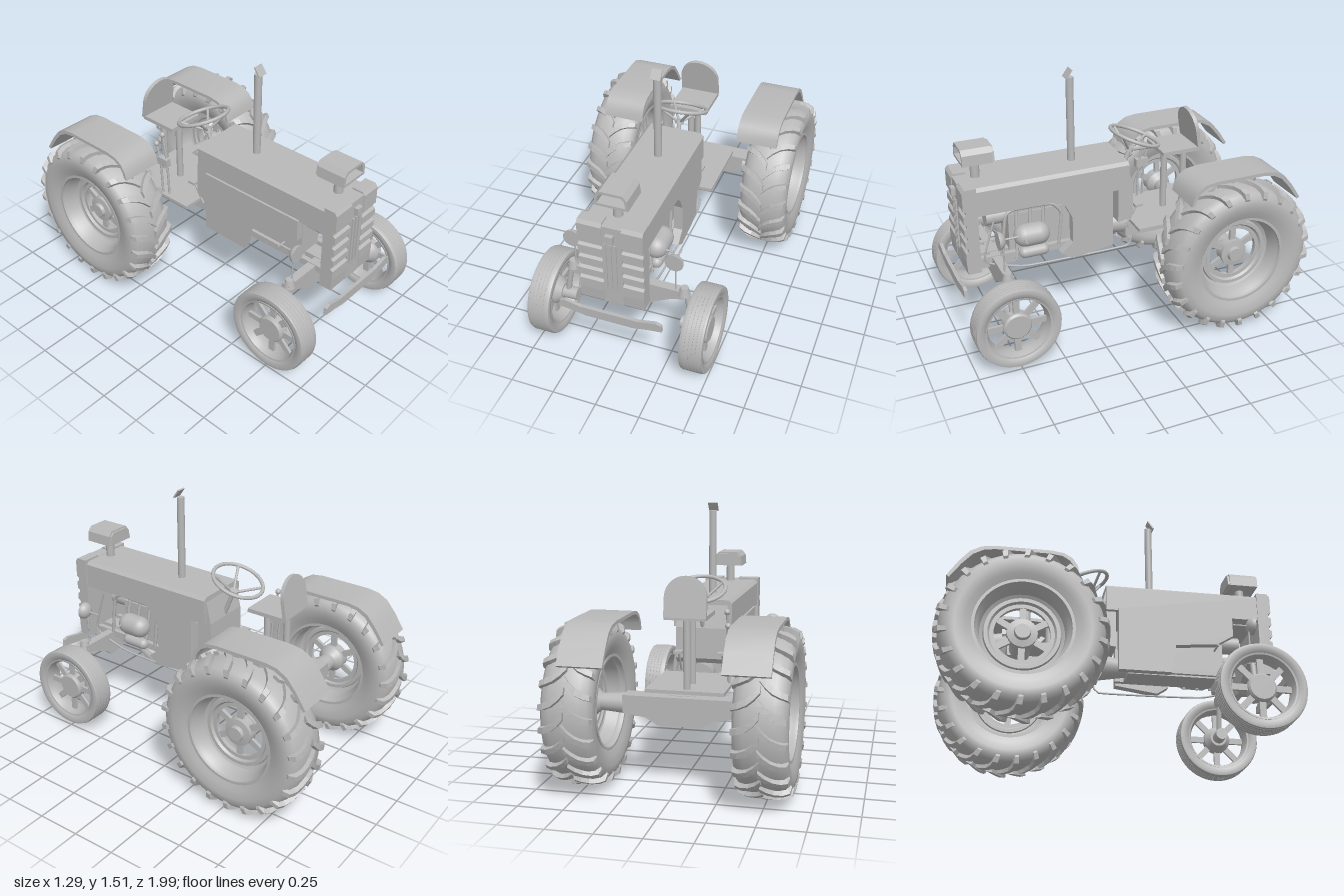
import * as THREE from 'three';
import { mergeGeometries, toCreasedNormals } from 'three/addons/utils/BufferGeometryUtils.js';

const grey = new THREE.MeshStandardMaterial({ color: 0xb8b8b8, side: THREE.DoubleSide });
grey.name = 'plain grey';
const CX = -0.015; // centre line of the bodywork
const V = (x, y, z) => new THREE.Vector3(x, y, z);

function add(parent, name, geo) {
  const m = new THREE.Mesh(geo, grey);
  m.name = name;
  parent.add(m);
  return m;
}
// Box given by its limits
const box = (x0, x1, y0, y1, z0, z1) =>
  new THREE.BoxGeometry(x1 - x0, y1 - y0, z1 - z0).translate((x0 + x1) / 2, (y0 + y1) / 2, (z0 + z1) / 2);
// Cylinder between two points
function rod(a, b, r0, r1 = r0, seg = 16) {
  const d = b.clone().sub(a);
  const g = new THREE.CylinderGeometry(r1, r0, d.length(), seg);
  g.applyQuaternion(new THREE.Quaternion().setFromUnitVectors(V(0, 1, 0), d.normalize()));
  return g.translate((a.x + b.x) / 2, (a.y + b.y) / 2, (a.z + b.z) / 2);
}
const tube = (pts, r) => new THREE.TubeGeometry(new THREE.CatmullRomCurve3(pts, false, 'catmullrom', 0.2), 32, r, 8);
const shape = pts => new THREE.Shape(pts.map(p => new THREE.Vector2(...p)));
const extrude = (s, depth) => new THREE.ExtrudeGeometry(s, { depth, bevelEnabled: false, curveSegments: 10 });
// Side outline (z, y) extruded from x0 to x1
const sidePlate = (pts, x0, x1) => extrude(shape(pts), x1 - x0).rotateY(-Math.PI / 2).translate(x1, 0, 0);
// Front outline (x, y) extruded from z0 to z1
const frontPlate = (pts, z0, z1) => extrude(shape(pts), z1 - z0).translate(0, 0, z0);
// Profile (radius, axial) turned around the x axis
const turned = (pts, crease = 0.6, seg = 56) =>
  toCreasedNormals(new THREE.LatheGeometry(pts.map(p => new THREE.Vector2(...p)), seg).rotateZ(-Math.PI / 2), crease);

// One curved tread bar, hooking from the shoulder to the middle of the tyre
function lug(side, turn) {
  const path = [[.139, .385, 0], [.132, .412, .015], [.1, .428, .035], [.06, .435, .075], [.025, .437, .14], [-.005, .437, .22]];
  const pos = [], idx = [];
  path.forEach(([a, r, f], i) => {
    const w = .038 + .004 * Math.min(i, 3), lift = i ? .021 : .01;
    for (const [ka, dr, df] of [[.92, -.02, -w], [1.05, lift, -w * .8], [1.05, lift, w * .8], [.92, -.02, w]]) {
      const t = turn + f + df;
      pos.push(side * a * ka, (r + dr) * Math.cos(t), (r + dr) * Math.sin(t));
    }
    if (i) for (let k = 0; k < 4; k++) {
      const p = (i - 1) * 4 + k, q = (i - 1) * 4 + (k + 1) % 4;
      idx.push(p, p + 4, q, q, p + 4, q + 4);
    }
  });
  const e = (path.length - 1) * 4;
  idx.push(0, 1, 2, 0, 2, 3, e, e + 2, e + 1, e, e + 3, e + 2);
  if (side > 0) for (let i = 0; i < idx.length; i += 3) [idx[i], idx[i + 1]] = [idx[i + 1], idx[i]];
  const g = new THREE.BufferGeometry();
  g.setAttribute('position', new THREE.Float32BufferAttribute(pos, 3));
  g.setIndex(idx);
  const flat = g.toNonIndexed();
  flat.computeVertexNormals();
  return flat;
}

function spokes(n, r0, r1, w, t, x) {
  const list = [];
  for (let i = 0; i < n; i++)
    list.push(new THREE.BoxGeometry(t, r1 - r0, w).translate(x, (r0 + r1) / 2, 0).rotateX((i / n) * Math.PI * 2));
  return mergeGeometries(list);
}

function rearWheel() {
  const g = new THREE.Group();
  g.name = 'rearWheel';
  add(g, 'rearTyre', turned([[.26, -.11], [.3, -.128], [.35, -.142], [.39, -.138], [.415, -.118], [.43, -.08], [.437, 0],
    [.43, .08], [.415, .118], [.39, .138], [.35, .142], [.3, .128], [.26, .11]], .9));
  const lugs = [], n = 22;
  for (let i = 0; i < n; i++) lugs.push(lug(1, (i / n) * Math.PI * 2), lug(-1, ((i + .5) / n) * Math.PI * 2));
  add(g, 'rearTread', mergeGeometries(lugs));
  add(g, 'rearRim', turned([[.26, -.11], [.266, -.12], [.25, -.12], [.245, -.1], [.235, -.09], [.222, -.02], [.205, -.01], [.2, -.02], [.18, -.02], [.17, -.01],
    [.148, -.01], [.148, .015], [.17, .015], [.18, .028], [.2, .028], [.205, .015], [.222, .025], [.235, .09], [.245, .1], [.25, .12], [.266, .12], [.26, .11]]));
  add(g, 'rearSpokes', spokes(6, .06, .16, .035, .02, 0));
  add(g, 'rearHub', turned([[0, -.07], [.045, -.07], [.08, -.03], [.08, .03], [.045, .035], [.04, .055], [0, .055]], .4, 24));
  return g;
}

function frontWheel() {
  const g = new THREE.Group();
  g.name = 'frontWheel';
  const tread = [];
  for (let i = -2; i <= 2; i++) tread.push([.245, i * .021 - .009], [.245, i * .021 + .008], [.243, i * .021 + .009], [.243, i * .021 + .011]);
  add(g, 'frontTyre', turned([[.188, -.05], [.2, -.06], [.225, -.066], [.24, -.063], ...tread, [.24, .063], [.225, .066], [.2, .06], [.188, .05]], .5, 48));
  add(g, 'frontRim', turned([[.188, -.05], [.19, -.058], [.18, -.056], [.17, -.03], [.165, 0], [.17, .03], [.18, .056], [.19, .058], [.188, .05]], .6, 48));
  add(g, 'frontSpokes', spokes(8, .06, .172, .036, .016, .01));
  add(g, 'frontHub', turned([[0, -.05], [.05, -.05], [.08, -.015], [.08, .03], [.07, .04], [0, .04]], .4, 24));
  return g;
}

export function createModel() {
  const model = new THREE.Group();
  model.name = 'tractor';

  // Wheels, fenders, lamps and steering knuckles on both sides
  for (const s of [-1, 1]) {
    const rear = rearWheel(), front = frontWheel();
    rear.position.set(s * .5, .458, -.535);
    front.position.set(s * .442 - .003, .262, .757);
    rear.scale.x = front.scale.x = s;
    model.add(rear, front);

    const fx = s * .426 - .01;
    add(model, 'fender', toCreasedNormals(sidePlate([[-.245, .815], [-.258, .865], [-.285, .905], [-.33, .932], [-.4, .942], [-.7, .942],
      [-.77, .932], [-.83, .9], [-.885, .835], [-.945, .745], [-.93, .735], [-.87, .82], [-.815, .882], [-.76, .912], [-.7, .922],
      [-.4, .922], [-.34, .914], [-.3, .89], [-.275, .855], [-.262, .81]], fx - .123, fx + .123), .7));

    const lx = CX + s * .292;
    const lamp = add(model, 'headlight', new THREE.SphereGeometry(.052, 24, 10, 0, Math.PI * 2, 0, Math.PI / 2).rotateX(-Math.PI / 2));
    lamp.position.set(lx, .7, .79);
    lamp.scale.z = .85;
    add(model, 'headlightLens', new THREE.CircleGeometry(.052, 24).translate(lx, .7, .79));
    add(model, 'headlightTail', rod(V(lx, .7, .75), V(lx, .7, .67), .006, .006, 8));
    add(model, 'headlightPost', rod(V(lx, .47, .76), V(lx, .68, .76), .005, .005, 8));

    add(model, 'kingpin', rod(V(s * .372, .27, .757), V(s * .335, .5, .757), .016));
    add(model, 'kingpinCap', rod(V(s * .325, .47, .757), V(s * .325, .52, .757), .034, .022));
    add(model, 'stubAxle', rod(V(s * .31, .265, .757), V(s * .42, .262, .757), .036, .036, 24));
    add(model, 'rearAxleShaft', rod(V(s * .27, .458, -.535), V(s * .46, .458, -.535), .06, .045, 24));
    add(model, 'frameRail', box(CX + s * .09 - .015, CX + s * .09 + .015, .46, .5, .05, .86));
    add(model, 'stepStub', rod(V(CX + s * .13, .605, .6), V(CX + s * .22, .605, .6), .006, .006, 8));
  }

  // Hood with softened upper edges
  add(model, 'hood', frontPlate([[-.19, .8], [-.19, .945], [-.17, .963], [.135, .963], [.155, .945], [.155, .8]], -.04, .86));
  add(model, 'cowl', sidePlate([[.02, .58], [.02, .955], [-.035, .955], [-.07, .8], [-.075, .62], [-.05, .59]], -.165, .135));
  add(model, 'leftSidePanel', sidePlate([[.42, .81], [.35, .76], [.31, .68], [.31, .52], [.38, .46], [.31, .415], [.06, .45], [.06, .81]], .1, .152));
  add(model, 'rightSidePanel', sidePlate([[.7, .81], [.7, .68], [.6, .62], [.36, .6], [.33, .43], [.03, .43], [.03, .81]], -.203, -.16));

  // Grille: two ribbed halves, a centre strip and vertical bars
  const ribs = [[.86, .46], [.935, .46], [.94, .53]];
  for (const y of [.61, .68, .755, .835]) ribs.push([.94, y - .02], [.924, y - .01], [.924, y + .008], [.94, y + .018]);
  ribs.push([.94, .955], [.925, .975], [.86, .975]);
  add(model, 'grilleRight', sidePlate(ribs, -.195, -.06));
  add(model, 'grilleLeft', sidePlate(ribs, .05, .167));
  add(model, 'grilleCentre', box(-.06, .05, .455, .965, .86, .935));
  for (const x of [-.04, -.012, .016]) add(model, 'grilleBar', box(x - .005, x + .005, .56, .86, .93, .945));
  add(model, 'grilleKnob', box(-.034, .01, .88, .925, .93, .96));

  // Exhaust with a tilted rain cap
  add(model, 'exhaustPipe', rod(V(CX, .94, .25), V(CX, 1.46, .25), .022, .022, 20));
  const cap = add(model, 'rainCap', new THREE.BoxGeometry(.058, .008, .06));
  cap.position.set(CX, 1.482, .262);
  cap.rotation.x = .95;

  // Air intake: hollow hood opening to the front
  const rim = shape([[-.105, 1.07], [-.1, 1.13], [-.075, 1.158], [.05, 1.158], [.075, 1.13], [.08, 1.07]]);
  rim.holes.push(new THREE.Path([[-.09, 1.085], [.065, 1.085], [.06, 1.125], [.044, 1.143], [-.069, 1.143], [-.085, 1.125]].map(p => new THREE.Vector2(...p))));
  add(model, 'intakeHood', extrude(rim, .17).translate(0, 0, .735));
  add(model, 'intakeBack', frontPlate([[-.1, 1.075], [-.09, 1.13], [-.07, 1.15], [.045, 1.15], [.065, 1.13], [.075, 1.075]], .722, .74));
  add(model, 'intakePipe', rod(V(CX, .95, .815), V(CX, 1.075, .815), .026, .026, 20));

  // Engine and its fittings
  add(model, 'engineBlock', box(-.1, .05, .45, .72, .1, .66));
  add(model, 'cylinderHead', box(-.1, .04, .7, .81, .12, .64));
  add(model, 'fan', rod(V(CX, .7, .66), V(CX, .7, .78), .05, .05, 20));
  for (const [r, len, y, z] of [[.066, .08, .6, .54], [.034, .11, .49, .53]])
    add(model, 'filterCanister', new THREE.CapsuleGeometry(r, len, 8, 20).rotateX(Math.PI / 2).translate(.1, y, z));
  add(model, 'manifold', tube([V(.1, .5, .72), V(.1, .74, .69), V(.1, .775, .64), V(.1, .77, .42), V(.1, .7, .36), V(.1, .5, .38)], .01));
  add(model, 'fuelLine', tube([V(.13, .76, .76), V(.13, .5, .83), V(.13, .42, .6), V(.13, .41, .3), V(.13, .41, -.04), V(.13, .47, -.07)], .006));
  for (const z of [.45, .53, .61]) add(model, 'enginePipe', rod(V(.05, .74, z), V(.09, .45, z + .02), .01, .01, 8));

  // Front axle beam and bumper bar
  add(model, 'frontAxle', frontPlate([[-.35, .495], [-.35, .45], [-.28, .43], [-.19, .38], [-.15, .345], [-.05, .365], [.03, .365], [.12, .345],
    [.16, .38], [.26, .43], [.34, .45], [.34, .495]], .725, .775));
  add(model, 'axlePivot', box(-.06, .03, .4, .5, .62, .88));
  add(model, 'bumper', frontPlate([[-.305, .395], [-.3, .435], [-.27, .445], [-.18, .425], [.15, .425], [.25, .445], [.28, .435], [.285, .395],
    [.2, .385], [.12, .37], [-.15, .37], [-.22, .385]], .975, .995));

  // Transmission, rear axle housing and floor
  add(model, 'bellHousing', rod(V(CX, .51, .1), V(CX, .51, -.08), .05, .08, 24));
  add(model, 'transmission', box(-.09, .06, .43, .52, -.56, -.06));
  add(model, 'rearAxleHousing', frontPlate([[-.32, .42], [-.2, .4], [-.13, .36], [.1, .36], [.17, .4], [.3, .42], [.3, .518], [-.32, .518]], -.6, -.495));
  add(model, 'floor', box(-.245, .195, .52, .54, -.53, -.09));

  // Seat with rounded backrest
  add(model, 'seatPan', box(-.145, .085, .925, .948, -.53, -.29));
  const back = new THREE.Shape();
  back.moveTo(-.117, 0).lineTo(-.117, .11).absellipse(0, .11, .117, .115, Math.PI, 0, true).lineTo(.117, 0);
  const rest = add(model, 'seatBack', extrude(back, .022));
  rest.position.set(-.032, .94, -.54);
  rest.rotation.x = .16;
  for (const z of [-.48, -.35]) add(model, 'seatPost', rod(V(-.03, .53, z), V(-.03, .93, z), .02));

  // Dished steering wheel on its raked column
  const steering = new THREE.Group();
  steering.name = 'steeringWheel';
  steering.position.set(-.022, 1.04, -.15);
  steering.rotation.x = -.38;
  add(steering, 'steeringRim', new THREE.TorusGeometry(.15, .011, 10, 40).rotateX(Math.PI / 2));
  add(steering, 'steeringHub', new THREE.CylinderGeometry(.025, .025, .025, 20).translate(0, -.085, 0));
  for (let i = 0; i < 4; i++)
    add(steering, 'steeringSpoke', rod(V(.01, -.085, 0), V(.15, 0, 0), .008, .008, 8).rotateY(Math.PI / 5 + i * Math.PI / 2));
  add(steering, 'steeringColumn', new THREE.CylinderGeometry(.013, .013, .25, 12).translate(0, -.2, 0));
  model.add(steering);

  // Control levers and pedals
  for (const [x, z, top] of [[-.215, -.3, .94], [-.228, -.34, .87]]) {
    add(model, 'lever', tube([V(x, .53, z + .04), V(x, .75, z + .03), V(x, top, z)], .007));
    add(model, 'leverKnob', new THREE.SphereGeometry(.017, 14, 10).translate(x, top, z));
  }
  add(model, 'leverBracket', box(-.24, -.205, .74, .79, -.33, -.25));
  for (const x of [-.15, .11]) {
    add(model, 'pedalArm', rod(V(x, .54, -.04), V(x, .66, -.11), .007, .007, 8));
    add(model, 'pedal', box(x - .025, x + .025, .655, .67, -.14, -.09));
  }
  return model;
}
